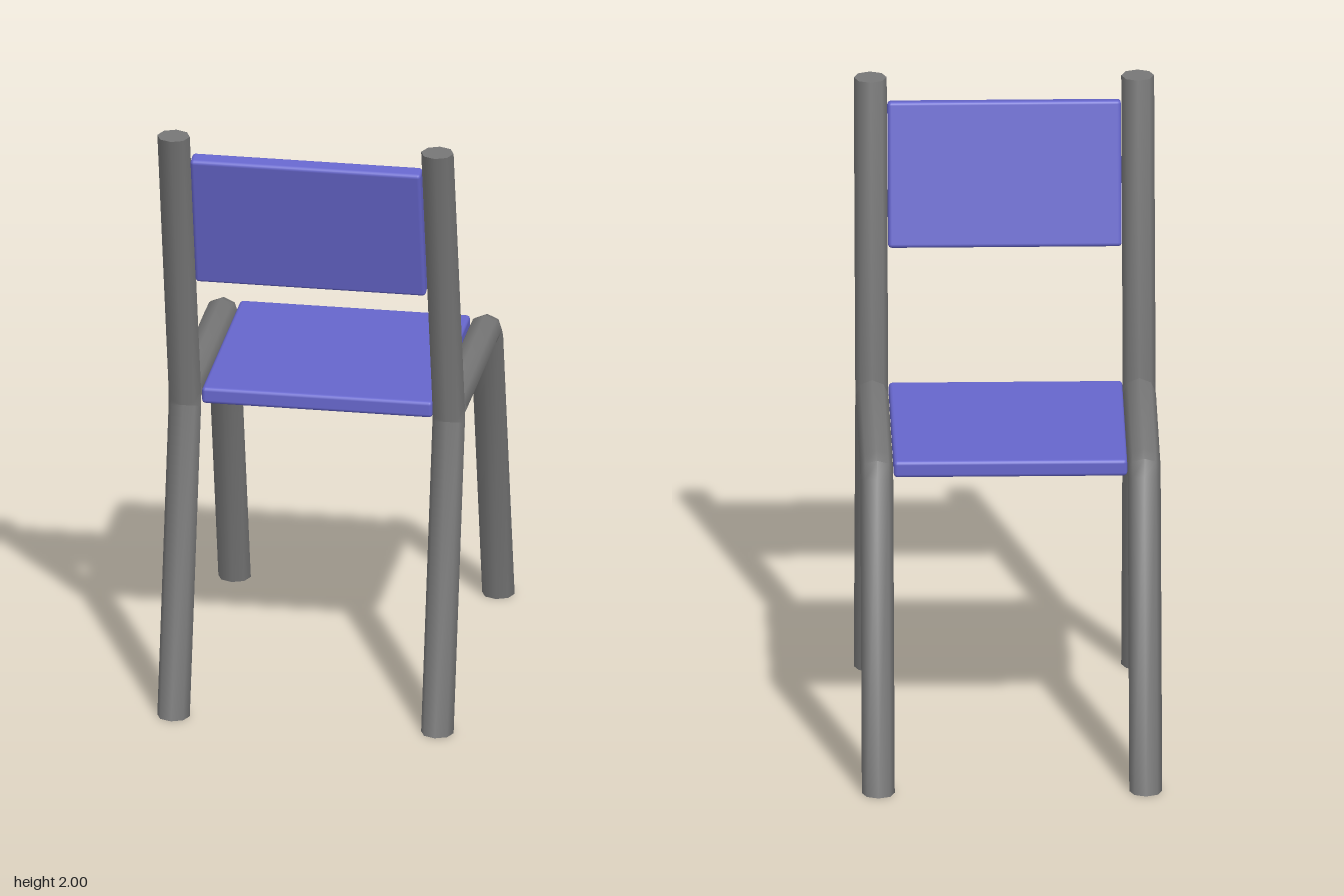
import * as THREE from 'three';
import { toCreasedNormals } from 'three/addons/utils/BufferGeometryUtils.js';
import { RoundedBoxGeometry } from 'three/addons/geometries/RoundedBoxGeometry.js';

const SIDES = 8;
const TUBE_RADIUS = 0.0525;

// Mitred tube in the side plane. Each section is [outerZ, outerY, innerZ, innerY].
function tubeGeometry(sections) {
  const rings = sections.map(([oz, oy, iz, iy]) => {
    const ring = [];
    for (let i = 0; i < SIDES; i++) {
      const a = (i / SIDES) * Math.PI * 2;
      const c = Math.cos(a) / 2;
      ring.push([
        Math.sin(a) * TUBE_RADIUS,
        (oy + iy) / 2 + (oy - iy) * c,
        (oz + iz) / 2 + (oz - iz) * c,
      ]);
    }
    return ring;
  });
  const pos = [];
  const tri = (...points) => points.forEach((p) => pos.push(...p));
  const first = rings[0];
  const last = rings[rings.length - 1];
  for (let i = 0; i < SIDES; i++) {
    const n = (i + 1) % SIDES;
    for (let j = 0; j < rings.length - 1; j++) {
      const a = rings[j], b = rings[j + 1];
      tri(a[i], a[n], b[n]);
      tri(a[i], b[n], b[i]);
    }
    // end caps
    if (i > 0 && i < SIDES - 1) {
      tri(first[0], first[n], first[i]);
      tri(last[0], last[i], last[n]);
    }
  }
  const geometry = new THREE.BufferGeometry();
  geometry.setAttribute('position', new THREE.Float32BufferAttribute(pos, 3));
  return toCreasedNormals(geometry, 0.9);
}

export function createModel() {
  const metal = new THREE.MeshStandardMaterial({ color: 0x777777 });
  metal.name = 'grey metal';
  const plastic = new THREE.MeshStandardMaterial({ color: 0x6666cc });
  plastic.name = 'blue plastic';

  const model = new THREE.Group();
  model.name = 'chair';
  const add = (name, geometry, material, parent = model) => {
    const mesh = new THREE.Mesh(geometry, material);
    mesh.name = name;
    parent.add(mesh);
    return mesh;
  };

  // Tubular side frames; the sitter faces -z
  const rearLeg = tubeGeometry([
    [0.64, 0, 0.535, 0],
    [0.415, 1.0, 0.325, 0.965],
  ]);
  const backPost = tubeGeometry([
    [0.415, 1.0, 0.325, 0.965],
    [0.415, 1.0, 0.325, 1.067],
    [0.64, 2, 0.535, 2],
  ]);
  const seatRailAndFrontLeg = tubeGeometry([
    [0.325, 1.067, 0.325, 0.965],
    [-0.32, 1.067, -0.32, 0.965],
    [-0.375, 1.05, -0.32, 0.965],
    [-0.412, 1.0, -0.32, 0.965],
    [-0.64, 0, -0.535, 0],
  ]);
  for (const [side, x] of [['left', 0.4265], ['right', -0.4265]]) {
    const frame = new THREE.Group();
    frame.name = side + 'Frame';
    frame.position.x = x;
    add(side + 'RearLeg', rearLeg, metal, frame);
    add(side + 'BackPost', backPost, metal, frame);
    add(side + 'SeatRailAndFrontLeg', seatRailAndFrontLeg, metal, frame);
    model.add(frame);
  }

  // Seat panel
  const seat = add('seat', new RoundedBoxGeometry(0.745, 0.055, 0.745, 2, 0.012), plastic);
  seat.position.set(0, 1.0175, -0.002);

  // Backrest panel, leaning with the posts
  const backrest = add('backrest', new RoundedBoxGeometry(0.745, 0.47, 0.055, 2, 0.012), plastic);
  backrest.position.set(0, 1.695, 0.519);
  backrest.rotation.x = 0.22;

  return model;
}
